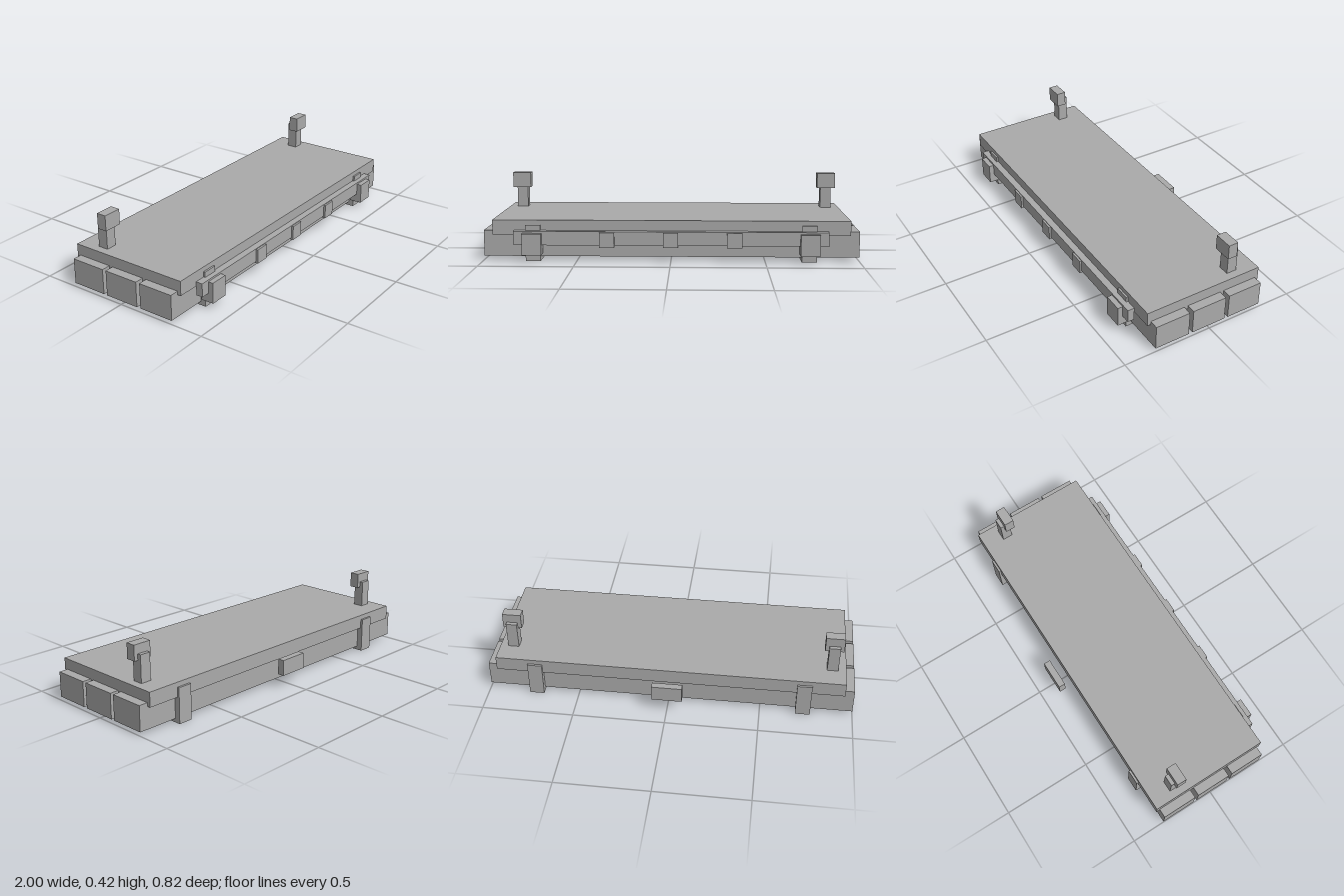
import * as THREE from 'three';

export function createModel() {
  const model = new THREE.Group();
  model.name = 'plankPlatform';
  const grey = new THREE.MeshStandardMaterial({ color: 0xaaaaaa });
  grey.name = 'plain grey';

  // Box given by its lower and upper limits on each axis
  const block = (name, [x0, x1], [y0, y1], [z0, z1]) => {
    const mesh = new THREE.Mesh(new THREE.BoxGeometry(x1 - x0, y1 - y0, z1 - z0), grey);
    mesh.position.set((x0 + x1) / 2, (y0 + y1) / 2, (z0 + z1) / 2);
    mesh.name = name;
    model.add(mesh);
  };
  const span = (centre, width) => [centre - width / 2, centre + width / 2];

  // Top deck and the three beams under it
  block('deck', [-0.95, 0.95], [0.14, 0.219], [-0.33, 0.343]);
  for (const z of [0.225, 0.006, -0.212]) {
    block('beam', [-1, 1], [0.021, 0.16], span(z, 0.197));
  }

  // Front rail with its three studs, and the rear plate
  block('frontRail', [-0.832, 0.832], [0.09, 0.164], [0.343, 0.38]);
  for (const x of [-0.337, 0, 0.337]) {
    block('railStud', span(x, 0.08), [0.08, 0.16], [0.36, 0.391]);
  }
  block('rearPlate', [-0.082, 0.082], [0.077, 0.164], [-0.408, -0.371]);

  for (const side of [-1, 1]) {
    const name = side > 0 ? 'left' : 'right';
    // Cross strap around the beams, with a buckle at the front
    block(name + 'Strap', span(side * 0.733, 0.08), [0, 0.193], [-0.342, 0.353]);
    block(name + 'Buckle', span(side * 0.733, 0.102), [0.041, 0.154], [0.337, 0.408]);
    // Upright post with its lamp head
    block(name + 'Post', span(side * 0.876, 0.06), [0.2, 0.367], [-0.219, -0.162]);
    block(name + 'PostHead', span(side * 0.876, 0.102), [0.333, 0.417], [-0.198, -0.144]);
  }
  return model;
}
